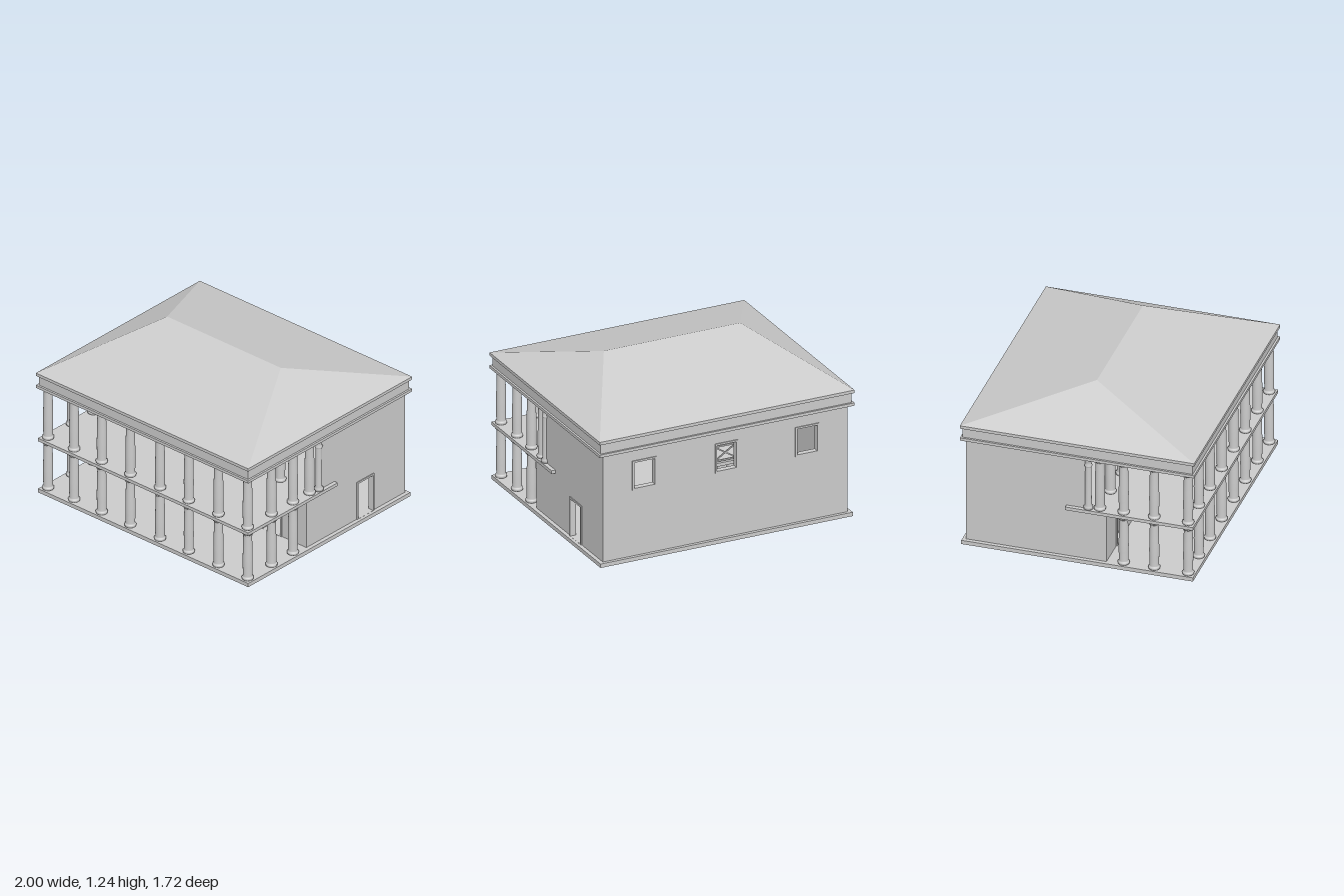
import * as THREE from 'three';

const grey = new THREE.MeshStandardMaterial({ color: 0xcccccc, side: THREE.DoubleSide });
const beige = new THREE.MeshStandardMaterial({ color: 0xd2d2b6 });

export function createModel() {
  const model = new THREE.Group();

  function add(name, geometry, material = grey, parent = model) {
    const mesh = new THREE.Mesh(geometry, material);
    mesh.name = name;
    parent.add(mesh);
    return mesh;
  }
  // Box given by its limits on each axis
  function block(name, x0, x1, y0, y1, z0, z1, material = grey, parent = model) {
    const mesh = add(name, new THREE.BoxGeometry(x1 - x0, y1 - y0, z1 - z0), material, parent);
    mesh.position.set((x0 + x1) / 2, (y0 + y1) / 2, (z0 + z1) / 2);
    return mesh;
  }
  // Square bar between two points
  function bar(name, a, b, t, parent) {
    const mesh = add(name, new THREE.BoxGeometry(t, t, a.distanceTo(b)), grey, parent);
    mesh.position.copy(a).lerp(b, 0.5);
    mesh.lookAt(b);
    return mesh;
  }
  const rect = (x0, y0, x1, y1, Kind = THREE.Shape) => new Kind([
    [x0, y0], [x1, y0], [x1, y1], [x0, y1]].map(p => new THREE.Vector2(...p)));
  const extrude = (shape, depth) => new THREE.ExtrudeGeometry(shape, { depth, bevelEnabled: false });

  // Upright wall with framed openings, each opening [a0, y0, a1, y1]
  function wall(name, points, openings, depth) {
    const group = new THREE.Group();
    group.name = name;
    const shape = new THREE.Shape(points.map(p => new THREE.Vector2(...p)));
    const f = 0.014;
    for (const [a0, y0, a1, y1] of openings) {
      const low = y0 < 0.1 ? y0 + 0.001 : y0 + f;
      shape.holes.push(rect(a0 + f, low, a1 - f, y1 - f, THREE.Path));
      const ring = rect(a0, y0, a1, y1);
      ring.holes.push(rect(a0 + f, low, a1 - f, y1 - f, THREE.Path));
      add('openingFrame', extrude(ring, depth + 0.014), grey, group).position.z = -0.007;
    }
    add(name + 'Panel', extrude(shape, depth), grey, group);
    model.add(group);
    return group;
  }

  // Floors
  block('baseSlab', -0.99, 0.99, 0, 0.03, -0.855, 0.85);
  block('balconySlab', -0.99, 0.99, 0.415, 0.44, -0.09, 0.85);
  block('upperFloorMiddle', -0.58, 0.95, 0.415, 0.44, -0.5, -0.09);
  block('upperFloorBack', 0.12, 0.95, 0.415, 0.44, -0.82, -0.5);

  // Walls: closed below, open to the front above
  const bays = [[-0.735, -0.55], [-0.1, 0.08], [0.54, 0.73]];
  const t = 0.03;
  wall('backWall', [[-0.96, 0.03], [0.96, 0.03], [0.96, 0.85], [-0.96, 0.85]],
    bays.map(([a, b]) => [a, 0.535, b, 0.76]), t).position.z = -0.83;
  wall('frontWall', [[-0.96, 0.03], [0.96, 0.03], [0.96, 0.415], [-0.96, 0.415]],
    bays.map(([a, b]) => [a, 0.03, b, 0.33]), t).position.z = 0.175;
  for (const side of [-1, 1]) {
    // Local x runs towards the back
    const w = wall('sideWall',
      [[-0.205, 0.03], [0.83, 0.03], [0.83, 0.85], [-0.055, 0.85], [-0.055, 0.415], [-0.205, 0.415]],
      side > 0 ? [[0.32, 0.03, 0.505, 0.33]] : [], t);
    w.rotation.y = Math.PI / 2;
    w.position.x = side > 0 ? 0.96 - t : -0.96;
  }

  // Columns: moulded base, swelling shaft and round capital
  function columnGeometry(h) {
    const p = [[0, 0], [0.041, 0], [0.041, 0.01], [0.043, 0.014], [0.041, 0.02], [0.036, 0.023],
      [0.034, 0.03], [0.035, 0.1], [0.0355, h * 0.4], [0.034, h * 0.65], [0.031, h - 0.035],
      [0.033, h - 0.031], [0.033, h - 0.026], [0.031, h - 0.023], [0.04, h - 0.014],
      [0.042, h - 0.012], [0.042, h], [0, h]];
    return new THREE.LatheGeometry(p.map(q => new THREE.Vector2(...q)), 20);
  }
  const lower = columnGeometry(0.385), upper = columnGeometry(0.41);
  function column(name, geometry, x, y, z) {
    add(name, geometry).position.set(x, y, z);
  }
  const xs = [-0.94, -0.695, -0.435, -0.165, 0.115, 0.385, 0.665, 0.94];
  for (const x of xs) {
    column('lowerFrontColumn', lower, x, 0.03, 0.8);
    column('upperFrontColumn', upper, x, 0.44, 0.8);
    column('upperInnerColumn', upper, x, 0.44, 0.15);
  }
  for (const x of [-0.94, 0.94]) for (const z of [0.55, 0.325]) {
    column('lowerSideColumn', lower, x, 0.03, z);
    column('upperSideColumn', upper, x, 0.44, z);
  }
  for (const [x, z] of [[0.13, -0.44], [-0.1, -0.44], [-0.345, -0.44], [-0.455, -0.27], [-0.455, -0.02]]) {
    column('hallColumn', lower, x, 0.03, z);
  }

  // Attached columns with tall capitals on the upper wall ends
  const attached = new THREE.LatheGeometry([[0, 0], [0.034, 0], [0.034, 0.02], [0.024, 0.03],
    [0.022, 0.34], [0.027, 0.346], [0.029, 0.355], [0.023, 0.365], [0.023, 0.385], [0.03, 0.395],
    [0.03, 0.41], [0, 0.41]].map(q => new THREE.Vector2(...q)), 16);
  for (const x of [-0.955, 0.955]) column('attachedColumn', attached, x, 0.44, 0.07);

  // Entablature
  block('lowerLedge', -1, 1, 0.85, 0.872, -0.862, 0.862);
  block('frieze', -0.985, 0.985, 0.872, 0.947, -0.847, 0.847);
  block('cornice', -1, 1, 0.947, 0.97, -0.862, 0.862);

  // Hipped roof: a box with its upper corners pulled to the ridge
  const roof = new THREE.BoxGeometry(2, 0.265, 1.724).toNonIndexed();
  const pos = roof.attributes.position;
  for (let i = 0; i < pos.count; i++) {
    if (pos.getY(i) > 0) pos.setXYZ(i, Math.sign(pos.getX(i)) * 0.535, pos.getY(i), 0);
  }
  roof.computeVertexNormals();
  add('hippedRoof', roof).position.y = 0.97 + 0.1325;

  // Corner stair: one flight to the back, a landing, one flight along the back wall
  const stairs = new THREE.Group();
  stairs.name = 'stairs';
  model.add(stairs);
  const n = 11;
  for (let i = 0; i < n; i++) {
    const z = -0.52 * i / n;
    block('lowerStep', -0.93, -0.57, 0.03, 0.05 + 0.21 * i / (n - 1), z - 0.52 / n, z, beige, stairs);
    const x = -0.57 + 0.69 * i / n;
    block('upperStep', x, x + 0.69 / n, 0.03, 0.28 + 0.155 * i / (n - 1), -0.8, -0.52, beige, stairs);
  }
  block('landing', -0.93, -0.57, 0.03, 0.265, -0.8, -0.52, beige, stairs);

  // Stairwell railing with crossed panels
  const railing = new THREE.Group();
  railing.name = 'stairwellRailing';
  model.add(railing);
  function rail(x0, z0, x1, z1, panels) {
    const at = (k, y) => new THREE.Vector3(x0 + (x1 - x0) * k, y, z0 + (z1 - z0) * k);
    for (const y of [0.46, 0.57]) bar('handrail', at(0, y), at(1, y), 0.011, railing);
    for (let i = 0; i <= panels; i++) {
      const p = at(i / panels, 0);
      block('railPost', p.x - 0.008, p.x + 0.008, 0.44, 0.59, p.z - 0.008, p.z + 0.008, grey, railing);
      if (i === panels) break;
      const q = (i + 1) / panels;
      bar('crossBrace', at(i / panels, 0.46), at(q, 0.57), 0.009, railing);
      bar('crossBrace', at(i / panels, 0.57), at(q, 0.46), 0.009, railing);
    }
  }
  rail(-0.93, -0.06, -0.595, -0.06, 2);
  rail(-0.595, -0.06, -0.595, -0.5, 3);
  rail(-0.595, -0.5, 0.09, -0.5, 4);
  for (const [x, z] of [[-0.595, -0.06], [-0.595, -0.5], [-0.253, -0.5]]) {
    block('newelPost', x - 0.01, x + 0.01, 0.44, 0.605, z - 0.01, z + 0.01, grey, railing);
    add('newelBall', new THREE.SphereGeometry(0.014, 12, 8), grey, railing).position.set(x, 0.615, z);
  }
  return model;
}
